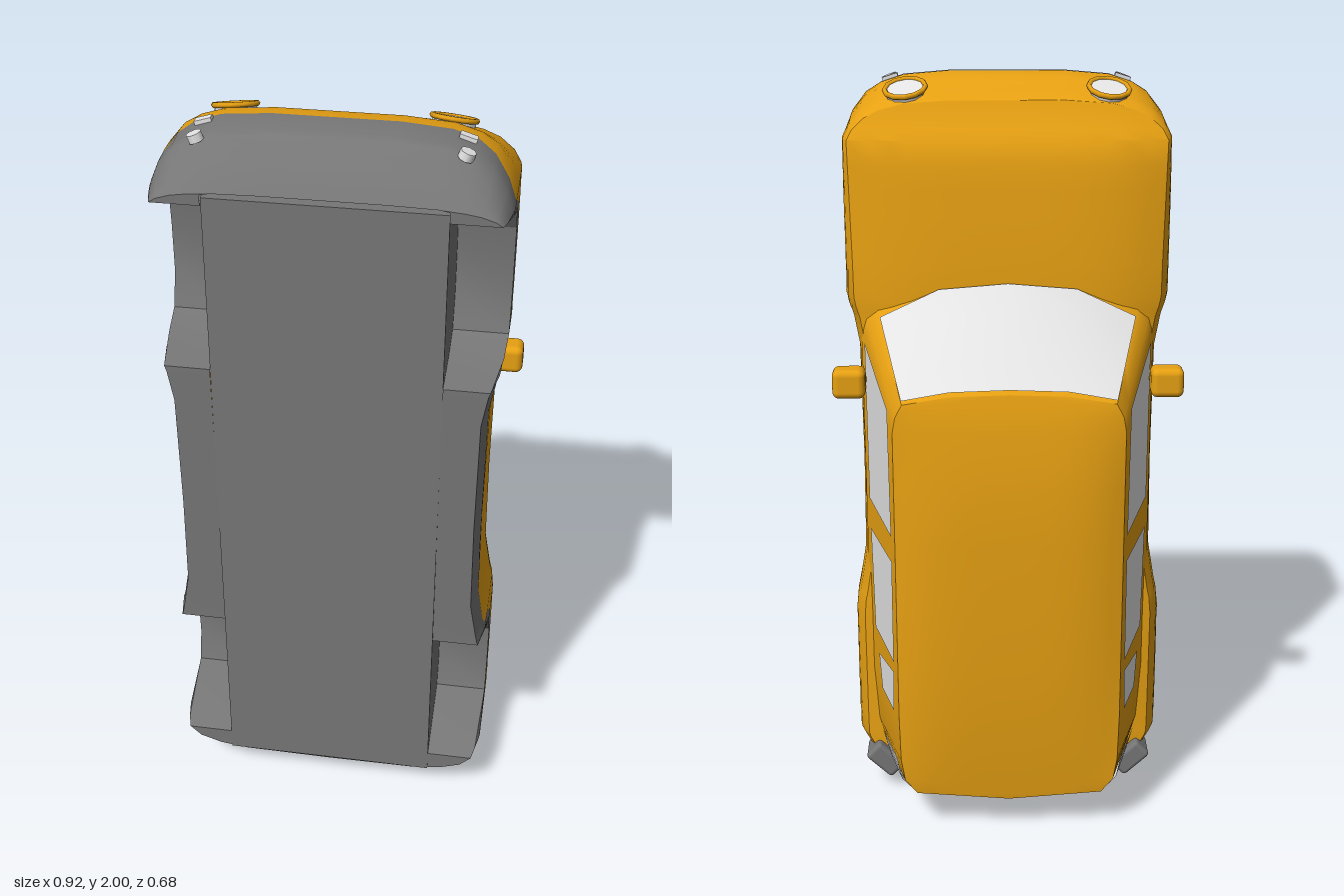
import * as THREE from 'three';
import { toCreasedNormals } from 'three/addons/utils/BufferGeometryUtils.js';
import { RoundedBoxGeometry } from 'three/addons/geometries/RoundedBoxGeometry.js';

const material = (name, color, side = THREE.FrontSide) => {
  const m = new THREE.MeshStandardMaterial({ color, side });
  m.name = name;
  return m;
};

// piecewise linear lookup in ascending [key, value] pairs
function lookup(table, k) {
  if (k <= table[0][0]) return table[0][1];
  for (let i = 1; i < table.length; i++) {
    const [a, va] = table[i - 1], [b, vb] = table[i];
    if (k <= b) return va + (vb - va) * (k - a) / (b - a);
  }
  return table[table.length - 1][1];
}

// surface from a rule giving the point at column i, row j
function grid(columns, rows, point, crease = 0.6) {
  const pos = [], index = [];
  for (let i = 0; i < columns; i++) for (let j = 0; j < rows; j++) pos.push(...point(i, j));
  for (let i = 0; i < columns - 1; i++) for (let j = 0; j < rows - 1; j++) {
    const a = i * rows + j, b = a + rows;
    index.push(a, a + 1, b, b, a + 1, b + 1);
  }
  const g = new THREE.BufferGeometry();
  g.setAttribute('position', new THREE.Float32BufferAttribute(pos, 3));
  g.setIndex(index);
  return toCreasedNormals(g, crease);
}

const fullRing = (half) => [
  ...half.map((c) => ({ c, s: 1 })),
  ...half.slice(0, -1).reverse().map((c) => ({ c, s: -1 })),
];

// plan outline from nose to tail: x, y, z of lower edge, z of cladding line
const BODY = [
  [0, 2, .34, .155], [.15, 2, .34, .155], [.27, 1.99, .34, .155], [.33, 1.97, .34, .157],
  [.37, 1.945, .34, .175], [.405, 1.9, .34, .2], [.422, 1.855, .34, .21], [.425, 1.845, .31, .2],
  [.425, 1.78, .13, .075], [.425, 1.72, .095, .045], [.425, 1.66, .09, .03], [.425, 1.53, .09, .04],
  [.425, 1.44, .12, .075], [.42, 1.415, .2, .12], [.415, 1.4, .335, .2], [.41, 1.385, .335, .26],
  [.395, 1.3, .333, .258], [.392, .98, .33, .24], [.395, .72, .327, .25], [.412, .62, .325, .255],
  [.417, .595, .325, .24], [.42, .585, .325, .18], [.425, .535, .165, .11], [.425, .44, .09, .06],
  [.425, .31, .085, .05], [.425, .22, .11, .09], [.425, .17, .3, .16], [.422, .155, .33, .18],
  [.39, .08, .33, .16], [.33, .03, .33, .14], [.25, .005, .33, .135], [0, 0, .33, .135],
];
const NOSE = [[-.06, 1.87], [-.02, 1.92], [0, 1.945], [.06, 1.97], [.1, 1.99], [.165, 2], [.245, 1.99], [.32, 1.91], [.345, 1.87]];
const TAIL = [[-.09, .045], [.06, .03], [.13, .025], [.165, .003], [.245, .003], [.31, .085], [.34, .1]];
const WIDTH = [[-.07, .92], [-.05, .945], [-.02, .985], [.01, 1], [.25, 1], [.34, .96]];
const TOP = [[0, -.07], [.2, -.06], [1.5, -.05], [1.85, -.035], [1.97, -.01], [2, -.005]];
const HOOD_CROWN = [[.05, .01], [.2, .02], [1.5, .04], [1.8, .032], [1.94, 0]];

function bodyPoint([x, y], z) {
  let py = y;
  if (y > 1.84) py = 1.84 + (y - 1.84) * (lookup(NOSE, z) - 1.84) / .16;
  if (y < .16) py = .16 - (.16 - y) * (.16 - lookup(TAIL, z)) / .16;
  return [x * lookup(WIDTH, z), py, z];
}

// cabin columns from windscreen to rear glass: base x, base y, roof x, roof y
const CABIN = [
  [0, 1.49, 0, 1.25], [.18, 1.475, .15, 1.245], [.335, 1.4, .27, 1.225], [.362, 1.365, .288, 1.19],
  [.37, 1.33, .295, 1.15], [.37, 1.1, .295, 1], [.37, .8, .295, .7], [.37, .38, .295, .35],
  [.36, .22, .292, .22], [.335, .13, .282, .16], [.25, .08, .25, .12], [0, .065, 0, .1],
];
const BELT = -.08, EAVES = -.31;
const ROOF_CROWN = [[.1, 0], [.3, .02], [.6, .034], [1, .034], [1.18, .016], [1.25, 0]];
const cabinPoint = ([xb, yb, xt, yt], v) => [xb + (xt - xb) * v, yb + (yt - yb) * v, BELT + (EAVES - BELT) * v];

export function createModel() {
  const paint = material('amber paint', 0xe6a012, THREE.DoubleSide);
  const plastic = material('grey plastic', 0x767676, THREE.DoubleSide);
  const glass = material('pale glass', 0xe4e4e4, THREE.DoubleSide);
  const car = new THREE.Group();
  car.name = 'car';
  const add = (name, geometry, mat, x = 0, y = 0, z = 0) => {
    const mesh = new THREE.Mesh(geometry, mat);
    mesh.name = name;
    mesh.position.set(x, y, z);
    car.add(mesh);
    return mesh;
  };
  const flip = (p, s) => [p[0] * s, p[1], p[2]];

  // lower body: painted shell above, cladding and bumpers below
  const ring = fullRing(BODY), n = ring.length;
  const band = (from, to) => grid(n, 9, (i, j) => {
    const { c, s } = ring[i], a = from(c), b = to(c);
    return flip(bodyPoint(c, a + (b - a) * j / 8), s);
  });
  add('bodyShell', band((c) => c[3], (c) => lookup(TOP, c[1])), paint);
  add('cladding', band((c) => c[2], (c) => c[3]), plastic);

  // wheel wells, sills and bumper undersides
  add('wheelWells', grid(n, 2, (i, j) => {
    const { c, s } = ring[i], p = bodyPoint(c, c[2]);
    return flip(j ? [Math.min(.285, p[0]), p[1], p[2]] : p, s);
  }, .4), plastic);
  add('floor', new THREE.BoxGeometry(.57, 1.76, .25), plastic, 0, .98, .207);

  // bonnet and deck closing the shell
  add('bonnet', grid(BODY.length, 17, (i, j) => {
    const c = BODY[i], p = bodyPoint(c, lookup(TOP, c[1])), s = j / 8 - 1;
    return [p[0] * s, p[1], p[2] - lookup(HOOD_CROWN, p[1]) * (1 - s ** 4)];
  }), paint);

  // cabin walls and roof
  const cabin = fullRing(CABIN);
  add('cabin', grid(cabin.length, 7, (i, j) => flip(cabinPoint(cabin[i].c, -.2 + j * .2), cabin[i].s)), paint);
  const roofRows = [.1, .12, .16, .22, .35, .5, .7, .85, 1, 1.1, 1.15, 1.19, 1.225, 1.245, 1.25];
  const roofEdge = CABIN.map((c) => [c[3], c[2]]).reverse();
  add('roof', grid(roofRows.length, 17, (i, j) => {
    const y = roofRows[i], s = j / 8 - 1;
    return [lookup(roofEdge, y) * s, y, EAVES - lookup(ROOF_CROWN, y) * (1 - s ** 4)];
  }), paint);

  // windscreen and wrapped rear glass, just proud of the cabin
  const pane = (name, columns, v0, v1, dx, dy, dz) => add(name, grid(columns.length, 5, (i, j) => {
    const { c, s } = columns[i], p = cabinPoint(c, v0 + (v1 - v0) * j / 4);
    return [s * p[0] * (1 + dx), p[1] + dy, p[2] + dz];
  }), glass);
  const across = (cols) => [...cols.slice(1).reverse().map((c) => ({ c, s: -1 })), ...cols.map((c) => ({ c, s: 1 }))];
  pane('windscreen', across(CABIN.slice(0, 3)), .04, .97, 0, .004, -.004);
  pane('rearGlass', across(CABIN.slice(8).reverse()), .2, .9, .015, -.005, -.001);

  // side windows as [y, z] corners on the sloping cabin side
  const windows = {
    frontWindow: [[1.325, -.08], [1.205, -.285], [.865, -.295], [.895, -.085]],
    rearWindow: [[.81, -.09], [.795, -.295], [.505, -.29], [.525, -.11]],
    quarterWindow: [[.46, -.14], [.475, -.29], [.355, -.28], [.365, -.165]],
  };
  for (const s of [1, -1]) {
    for (const [name, q] of Object.entries(windows)) {
      const order = [q[0], q[1], q[3], q[2]];
      add(name, grid(2, 2, (i, j) => {
        const [y, z] = order[i * 2 + j];
        return [s * (.375 + (z - BELT) * .326), y, z];
      }), glass);
    }

    // door mirror on its arm
    add('mirrorHousing', new RoundedBoxGeometry(.086, .078, .07, 3, .018), paint, s * .415, 1.23, -.12);
    const arm = new THREE.LineCurve3(new THREE.Vector3(s * .36, 1.23, -.06), new THREE.Vector3(s * .4, 1.23, -.1));
    add('mirrorArm', new THREE.TubeGeometry(arm, 1, .013, 8), paint);

    // round headlamp with painted surround
    const lamp = new THREE.Group();
    lamp.name = 'headlamp';
    const lens = new THREE.Mesh(new THREE.CylinderGeometry(.052, .052, .03, 12), glass);
    lens.name = 'headlampLens';
    const rim = new THREE.Mesh(new THREE.TorusGeometry(.053, .007, 6, 12).rotateX(Math.PI / 2), paint);
    rim.name = 'headlampRim';
    rim.position.y = .014;
    lamp.add(lens, rim);
    lamp.position.set(s * .26, 1.952, .045);
    lamp.rotation.set(-.35, 0, -s * .1);
    car.add(lamp);

    // small bumper lamps
    const fog = add('fogLamp', new THREE.CylinderGeometry(.019, .019, .02, 8), glass, s * .31, 1.971, .25);
    fog.rotation.z = -s * .35;
    const marker = add('markerLamp', new THREE.BoxGeometry(.042, .02, .022), glass, s * .305, 1.976, .176);
    marker.rotation.z = -s * .3;
    const reflector = add('rearReflector', new THREE.CylinderGeometry(.02, .02, .02, 8), paint, s * .31, .025, .21);
    reflector.rotation.z = s * .5;

    // tail lamp: raised frame with an inner block
    const tail = new THREE.Group();
    tail.name = 'tailLamp';
    const frame = new THREE.Mesh(new RoundedBoxGeometry(.1, .06, .1, 2, .012), plastic);
    frame.name = 'tailLampFrame';
    const block = new THREE.Mesh(new RoundedBoxGeometry(.066, .02, .055, 2, .006), plastic);
    block.name = 'tailLampBlock';
    block.position.y = -.027;
    tail.add(frame, block);
    tail.position.set(s * .35, .095, -.045);
    tail.rotation.z = s * .75;
    car.add(tail);
  }

  // tailgate ledge above the rear bumper
  add('tailgateLedge', new RoundedBoxGeometry(.5, .03, .05, 2, .012), paint, 0, .04, .06);
  return car;
}
